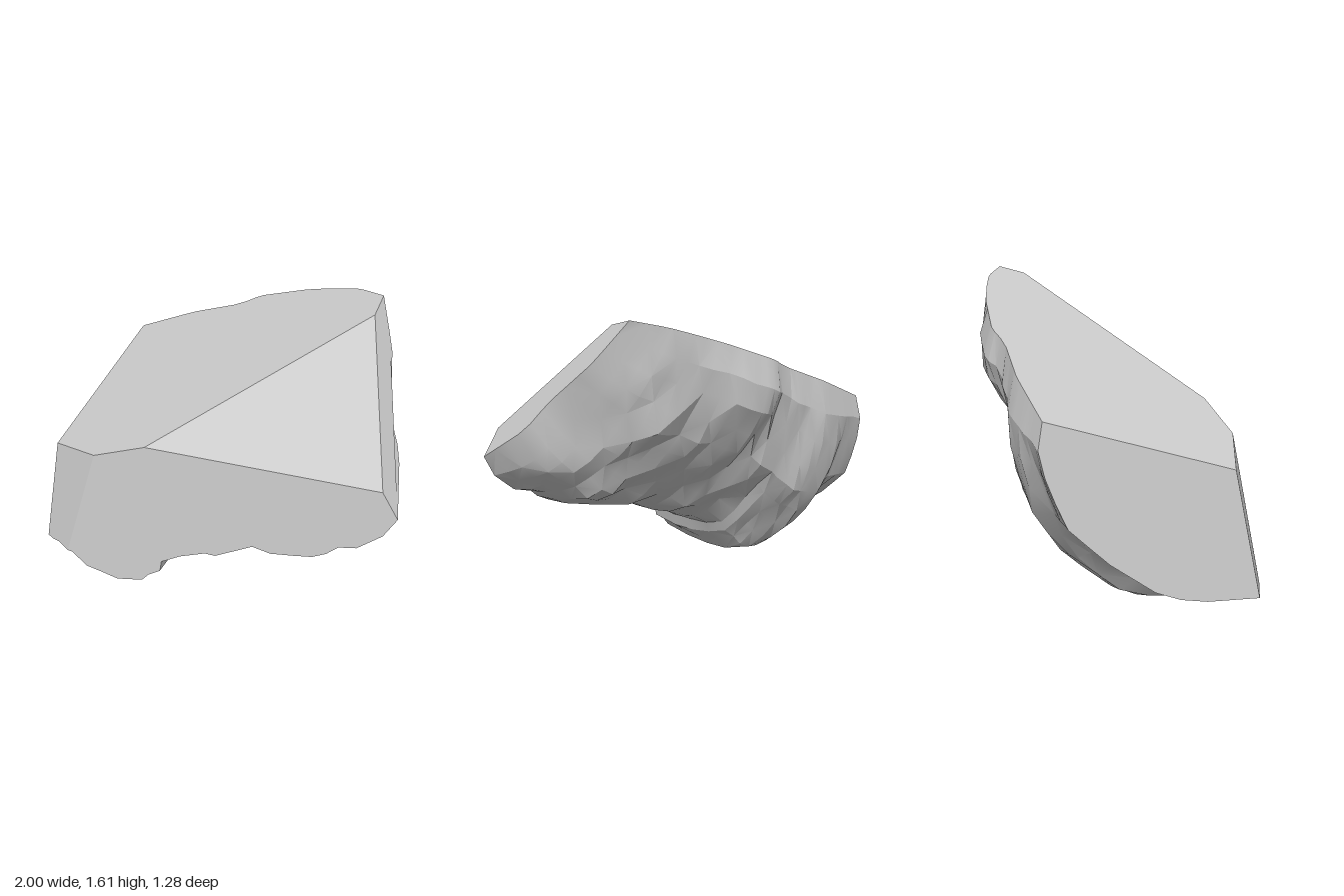
import * as THREE from 'three';
import { toCreasedNormals } from 'three/addons/utils/BufferGeometryUtils.js';

const V = (x, y, z) => new THREE.Vector3(x, y, z);
const INSIDE = V(-0.05, 0.85, 0.05);

// Planes of the two large cuts
const frontZ = (x, y) => 0.495 - 0.18 * (x + 0.31) - 0.066 * (y - 0.97);
const topY = (x, z) => 0.76 + 0.385 * (x + 0.92) - 0.3 * (z - 0.45);

// Corners of the flat cuts
const leftTop = V(-0.92, 0.755, 0.455), frontLeft = V(-0.6, 0.85, 0.55), peak = V(-0.31, 0.97, 0.495);
const rightTop = V(0.58, 1.57, -0.33), rightLow = V(0.91, 0.98, 0.27);

// Four edges that bound the rough underside
const front = [
  [-0.99, 0.13], [-0.95, 0.13], [-0.88, 0.155], [-0.8, 0.145], [-0.77, 0.14], [-0.69, 0.06], [-0.6, 0.04],
  [-0.5, 0.015], [-0.35, 0.05], [-0.31, 0.1], [-0.24, 0.15], [-0.23, 0.22], [-0.12, 0.29], [0.02, 0.35],
  [0.08, 0.35], [0.28, 0.47], [0.38, 0.45], [0.5, 0.47], [0.6, 0.49], [0.67, 0.53], [0.73, 0.59],
  [0.82, 0.61], [0.94, 0.72], [1, 0.84],
].map(([x, y], i) => V(x, y, i === 0 ? 0.57 : i === 1 ? 0.585 : i === 2 ? 0.61 : frontZ(x, y)));
const back = [
  [-0.92, -0.46], [-0.6, -0.53], [-0.3, -0.55], [-0.2, -0.6], [0.1, -0.6], [0.28, -0.575], [0.41, -0.55], [0.57, -0.47],
].map(([x, z]) => V(x, topY(x, z), z));
const left = [
  front[0], V(-1, 0.14, 0.3), V(-0.99, 0.17, 0.1), V(-0.98, 0.36, -0.17),
  V(-0.975, 0.55, -0.37), V(-0.945, 0.87, -0.49), back[0],
];
const right = [
  front[front.length - 1], V(0.89, 1.03, 0), V(0.8, 1.17, -0.08), V(0.69, 1.4, -0.33), back[back.length - 1],
];

// Point at a fraction of a polyline's length
function along(points) {
  const total = [0];
  for (let i = 1; i < points.length; i++) total.push(total[i - 1] + points[i].distanceTo(points[i - 1]));
  const length = total[total.length - 1];
  const at = (t) => {
    const d = t * length;
    let i = 1;
    while (i < points.length - 1 && total[i] < d) i++;
    return points[i - 1].clone().lerp(points[i], (d - total[i - 1]) / (total[i] - total[i - 1]));
  };
  return { at, stops: total.map((d) => d / length) };
}

// Repeatable lumps in -0.5..0.5, blended between lattice points
function hash(i, j) {
  const s = Math.sin(i * 127.1 + j * 311.7) * 43758.5453;
  return s - Math.floor(s) - 0.5;
}
function lumps(x, y) {
  const i = Math.floor(x), j = Math.floor(y), { lerp } = THREE.MathUtils;
  return lerp(lerp(hash(i, j), hash(i + 1, j), x - i), lerp(hash(i, j + 1), hash(i + 1, j + 1), x - i), y - j);
}

// Smooth hump around a centre
const hump = (t, centre, width) => Math.exp(-(((t - centre) / width) ** 2));

function makeGeometry(positions, index) {
  const g = new THREE.BufferGeometry();
  g.setAttribute('position', new THREE.Float32BufferAttribute(positions.flatMap((p) => p.toArray()), 3));
  g.setIndex(index);
  return g;
}

// Rough surface blended between its four edges, swollen outward and grooved front to back
function roughGrid(rows) {
  const F = along(front), B = along(back), L = along(left), R = along(right);
  const us = F.stops.flatMap((u, i, a) => (i && u - a[i - 1] > 0.06 ? [(u + a[i - 1]) / 2, u] : [u]));
  const out = V(0.05, -0.6, -0.8).normalize();
  const grid = [];
  for (let j = 0; j <= rows; j++) {
    const v = j / rows;
    grid.push(us.map((u, i) => {
      const p = F.at(u).multiplyScalar(1 - v).addScaledVector(B.at(u), v)
        .addScaledVector(L.at(v), 1 - u).addScaledVector(R.at(v), u)
        .addScaledVector(front[0], -(1 - u) * (1 - v)).addScaledVector(front[front.length - 1], -u * (1 - v))
        .addScaledVector(back[0], -(1 - u) * v).addScaledVector(back[back.length - 1], -u * v);
      if (j === 0 || j === rows || i === 0 || i === us.length - 1) return p;
      // Overall belly, a fuller lobe at the low end and a bulge under the back rim
      const arch = Math.sin(Math.PI * v ** 0.85);
      const swell = 0.15 * Math.min(1, 6 * u, 6 * (1 - u)) * arch ** 0.8
        + 0.075 * hump(u, 0.255, 0.115) * arch ** 1.2;
      const rim = 0.06 * hump(u, 0.58, 0.13) * hump(v, 0.87, 0.1);
      const fade = Math.min(1, 5 * v, 5 * (1 - v), 8 * u, 8 * (1 - u));
      const phase = u * 8 + v * 2.4;
      const groove = 0.03 * Math.abs(2 * (phase - Math.floor(phase)) - 1) - 0.015;
      p.addScaledVector(out, swell + fade * (groove + 0.055 * lumps(u * 14, v * 6)));
      p.z -= rim;
      p.y = Math.max(p.y, 0);
      p.z = Math.max(p.z, -0.64);
      return p;
    }));
  }
  return grid;
}

function roughGeometry(grid) {
  const n = grid[0].length, index = [];
  for (let j = 0; j < grid.length - 1; j++) {
    for (let i = 0; i < n - 1; i++) {
      const a = j * n + i, b = a + 1, c = a + n, d = c + 1;
      if ((i + j) % 2) index.push(a, c, b, b, c, d);
      else index.push(a, c, d, a, d, b);
    }
  }
  return toCreasedNormals(makeGeometry(grid.flat(), index), 0.3);
}

// Flat cut filled inside a ring of points, facing away from the middle
function cutGeometry(ring) {
  const normal = V(0, 0, 0), centre = V(0, 0, 0);
  ring.forEach((p, i) => {
    normal.add(p.clone().cross(ring[(i + 1) % ring.length]));
    centre.addScaledVector(p, 1 / ring.length);
  });
  normal.normalize();
  if (normal.dot(centre.sub(INSIDE)) < 0) normal.negate();
  const ax = V(0, 1, 0).cross(normal).normalize(), ay = normal.clone().cross(ax);
  const flat = ring.map((p) => new THREE.Vector2(p.dot(ax), p.dot(ay)));
  if (THREE.ShapeUtils.isClockWise(flat)) { flat.reverse(); ring = [...ring].reverse(); }
  const index = THREE.ShapeUtils.triangulateShape(flat, []).flatMap(([a, b, c]) => {
    const turn = flat[b].clone().sub(flat[a]).cross(flat[c].clone().sub(flat[a]));
    return turn < 0 ? [a, c, b] : [a, b, c];
  });
  const g = makeGeometry(ring, index);
  g.setAttribute('normal', new THREE.Float32BufferAttribute(ring.flatMap(() => normal.toArray()), 3));
  return g;
}

export function createModel() {
  const group = new THREE.Group();
  group.name = 'rockFragment';
  const material = new THREE.MeshStandardMaterial({ color: 0xcccccc });
  const add = (name, geometry) => {
    const mesh = new THREE.Mesh(geometry, material);
    mesh.name = name;
    group.add(mesh);
  };

  const grid = roughGrid(12);
  const n = grid[0].length;
  const bottomEdge = grid[0], backEdge = grid[grid.length - 1];
  const leftEdge = grid.map((row) => row[0]), rightEdge = grid.map((row) => row[n - 1]);
  const split = bottomEdge.findIndex((p) => p.x > -0.81);

  add('roughUnderside', roughGeometry(grid));
  add('topCut', cutGeometry([leftTop, frontLeft, peak, rightTop, ...[...backEdge].reverse()]));
  add('frontCut', cutGeometry([...bottomEdge.slice(split), rightLow, peak, frontLeft]));
  add('frontCornerCut', cutGeometry([...bottomEdge.slice(0, split + 1), frontLeft, leftTop]));
  add('slopingCut', cutGeometry([peak, rightLow, rightTop]));
  add('sideCutLeft', cutGeometry([...rightEdge, rightTop, rightLow]));
  add('sideCutRight', cutGeometry([...leftEdge, leftTop]));
  return group;
}
